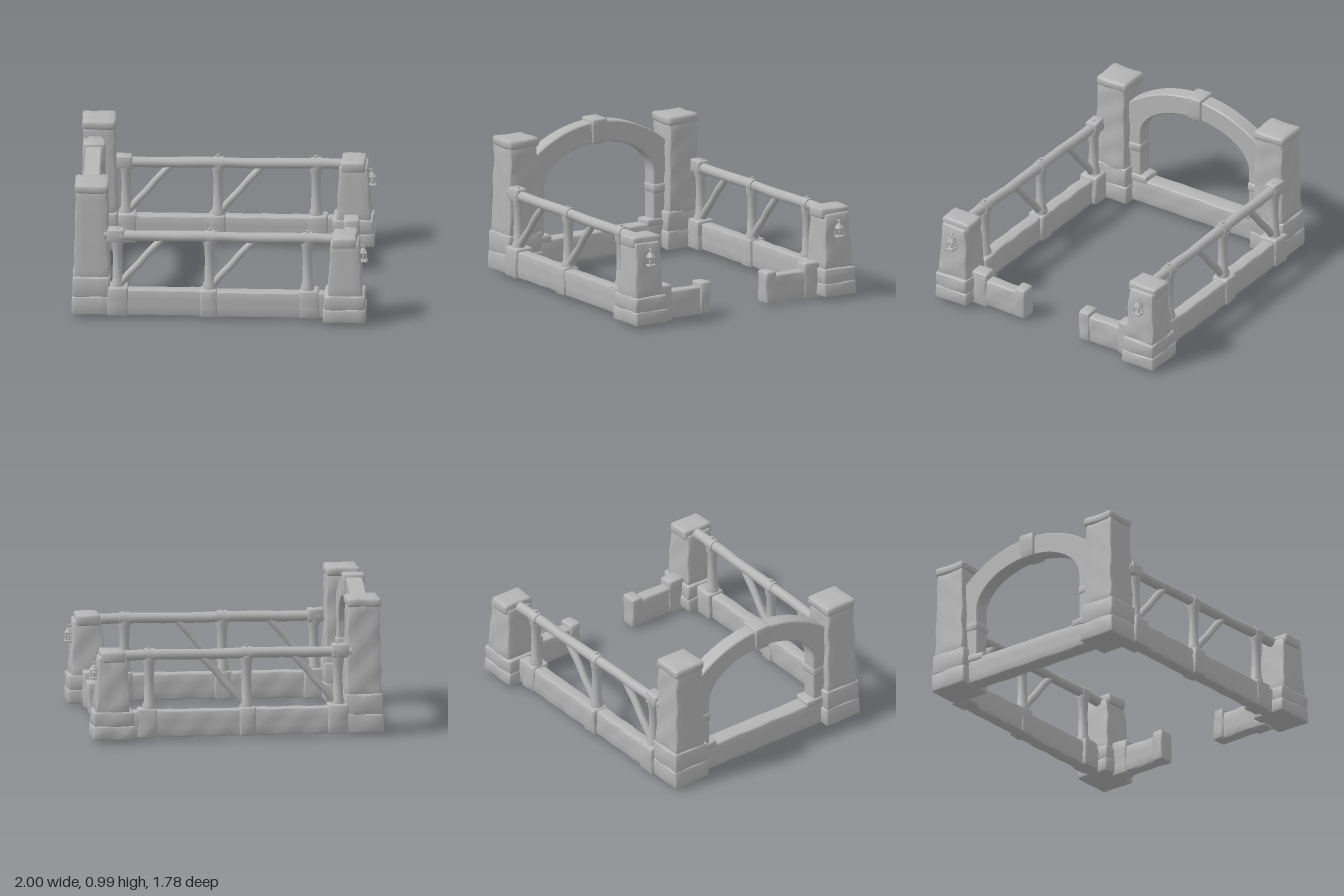
import * as THREE from 'three';
import { mergeVertices, toCreasedNormals } from 'three/addons/utils/BufferGeometryUtils.js';

const stoneGrey = new THREE.MeshStandardMaterial({ color: 0xb4b4b4 });
stoneGrey.name = 'stone grey';

// Gentle hewn unevenness that depends on position only, so surfaces stay closed
function hew(geo, amount, seed) {
  const p = geo.attributes.position;
  for (let i = 0; i < p.count; i++) {
    const x = p.getX(i), y = p.getY(i), z = p.getZ(i);
    p.setXYZ(i,
      x + amount * Math.sin(31 * y + 23 * z + seed),
      y + amount * 0.6 * Math.sin(27 * x + 19 * z + seed * 2),
      z + amount * Math.sin(29 * x + 25 * y + seed * 3));
  }
}

function smooth(geo, crease = 0.9) {
  geo.deleteAttribute('uv');
  geo.deleteAttribute('normal');
  return toCreasedNormals(mergeVertices(geo, 1e-5), crease);
}

function add(parent, name, geo) {
  const mesh = new THREE.Mesh(geo, stoneGrey);
  mesh.name = name;
  parent.add(mesh);
  return mesh;
}

// Bevelled stone block between two corners; taper scales the top in x and z
function stone(parent, name, [x0, y0, z0], [x1, y1, z1], { r = 0.012, taper = 1, rough = 0.003 } = {}) {
  const size = [x1 - x0, y1 - y0, z1 - z0];
  const segs = size.map((s) => Math.max(3, Math.min(14, Math.round(s / 0.06) + 2)));
  const geo = new THREE.BoxGeometry(...size, ...segs);
  const p = geo.attributes.position;
  const v = new THREE.Vector3(), inner = new THREE.Vector3();
  for (let i = 0; i < p.count; i++) {
    v.fromBufferAttribute(p, i);
    for (let a = 0; a < 3; a++) {
      const half = size[a] / 2, k = Math.round((v.getComponent(a) / size[a] + 0.5) * segs[a]);
      const edge = k === 0 || k === segs[a];
      const t = edge ? Math.sign(v.getComponent(a)) : ((k - 1) / (segs[a] - 2)) * 2 - 1;
      v.setComponent(a, t * (edge ? half : half - r));
      inner.setComponent(a, t * (half - r));
    }
    v.sub(inner).setLength(r).add(inner);
    const k = 1 + (taper - 1) * (v.y / size[1] + 0.5);
    p.setXYZ(i, v.x * k, v.y, v.z * k);
  }
  hew(geo, rough, x0 * 7 + y0 * 13 + z0 * 5);
  geo.translate((x0 + x1) / 2, (y0 + y1) / 2, (z0 + z1) / 2);
  return add(parent, name, smooth(geo));
}

// Round beam between two points
function beam(parent, name, a, b, radius, rough = 0.002) {
  const from = new THREE.Vector3(...a), dir = new THREE.Vector3(...b).sub(from);
  const geo = new THREE.CylinderGeometry(radius, radius, dir.length(), 12, 10);
  hew(geo, rough, radius * 90);
  const mesh = add(parent, name, smooth(geo));
  mesh.position.copy(from).addScaledVector(dir, 0.5);
  mesh.quaternion.setFromUnitVectors(new THREE.Vector3(0, 1, 0), dir.normalize());
  return mesh;
}

// Lathed post with flared foot and head
function post(parent, x, z) {
  const profile = [[0, 0.2], [0.046, 0.2], [0.046, 0.235], [0.036, 0.26], [0.032, 0.4],
    [0.034, 0.5], [0.043, 0.53], [0.043, 0.56], [0, 0.56]].map(([r, y]) => new THREE.Vector2(r, y));
  const mesh = add(parent, 'fencePost', smooth(new THREE.LatheGeometry(profile, 14), 0.8));
  mesh.position.set(x, 0, z);
}

// Hanging lantern on the pillar's outer face
function lantern(parent, z) {
  const g = new THREE.Group();
  g.name = 'lantern';
  g.position.set(0.966, 0, z);
  parent.add(g);
  const opts = { r: 0.003, rough: 0 };
  stone(g, 'lanternBase', [-0.027, 0.42, -0.027], [0.03, 0.434, 0.027], opts);
  stone(g, 'lanternRim', [-0.024, 0.478, -0.024], [0.026, 0.488, 0.024], opts);
  for (const x of [-0.019, 0.021]) for (const c of [-0.02, 0.02]) {
    beam(g, 'lanternBar', [x, 0.43, c], [x, 0.482, c], 0.004, 0);
  }
  beam(g, 'lanternCandle', [0, 0.43, 0], [0, 0.462, 0], 0.01, 0);
  const roof = add(g, 'lanternRoof', new THREE.CylinderGeometry(0.012, 0.034, 0.028, 4).rotateY(Math.PI / 4));
  roof.position.y = 0.502;
  const ring = add(g, 'lanternRing', new THREE.TorusGeometry(0.01, 0.003, 6, 12));
  ring.position.y = 0.524;
  const hook = new THREE.CatmullRomCurve3([[-0.06, 0.5, 0], [-0.035, 0.528, 0], [-0.012, 0.537, 0], [0.006, 0.53, 0]]
    .map((q) => new THREE.Vector3(...q)));
  add(g, 'lanternHook', new THREE.TubeGeometry(hook, 10, 0.006, 6));
}

// Box whose z range is given for the left side and mirrored for the right
function sided(parent, s, name, [x0, y0, z0], [x1, y1, z1], opts) {
  const [a, b] = s > 0 ? [z0, z1] : [-z1, -z0];
  return stone(parent, name, [x0, y0, a], [x1, y1, b], opts);
}

function buildSide(s) {
  const g = new THREE.Group();
  g.name = s > 0 ? 'leftSide' : 'rightSide';

  // Tall corner tower
  sided(g, s, 'towerFoot', [-0.997, 0.018, 0.502], [-0.737, 0.15, 0.782]);
  sided(g, s, 'towerPlinth', [-0.993, 0.14, 0.507], [-0.742, 0.285, 0.778]);
  sided(g, s, 'towerShaft', [-0.984, 0.26, 0.522], [-0.746, 0.9, 0.765], { taper: 0.88, rough: 0.004 });
  sided(g, s, 'towerCap', [-0.98, 0.872, 0.522], [-0.752, 0.936, 0.76], { r: 0.018 });

  // Short gate pillar
  sided(g, s, 'pillarFoot', [0.7, 0.018, 0.632], [0.985, 0.115, 0.887]);
  sided(g, s, 'pillarPlinth', [0.706, 0.105, 0.636], [0.98, 0.21, 0.883]);
  sided(g, s, 'pillarShaft', [0.73, 0.19, 0.648], [0.962, 0.58, 0.876], { taper: 0.82, rough: 0.004 });
  sided(g, s, 'pillarCap', [0.762, 0.545, 0.65], [0.924, 0.618, 0.872], { r: 0.014 });
  lantern(g, s * 0.76);

  // Low side wall with thicker blocks under the posts
  sided(g, s, 'sideWall', [-0.76, 0.02, 0.697], [-0.06, 0.203, 0.785]);
  sided(g, s, 'sideWall', [-0.09, 0.02, 0.71], [0.74, 0.2, 0.798]);
  sided(g, s, 'wallBlock', [-0.755, 0.018, 0.665], [-0.62, 0.222, 0.802]);
  sided(g, s, 'wallBlock', [-0.13, 0.018, 0.69], [-0.018, 0.212, 0.81]);
  sided(g, s, 'wallBlock', [0.54, 0.018, 0.682], [0.67, 0.215, 0.806]);

  // Timber railing
  const zAt = (x) => s * (0.742 + 0.012 * x);
  beam(g, 'handRail', [-0.78, 0.577, zAt(-0.78)], [0.8, 0.575, zAt(0.8)], 0.036, 0.003);
  for (const x of [-0.69, -0.07, 0.59]) {
    post(g, x, zAt(x));
    beam(g, 'railCollar', [x - 0.035, 0.577, zAt(x)], [x + 0.035, 0.577, zAt(x)], 0.044, 0.001);
    beam(g, 'postPeg', [x, 0.6, zAt(x)], [x, 0.632, zAt(x)], 0.011, 0);
  }
  sided(g, s, 'railSocket', [-0.76, 0.535, 0.69], [-0.645, 0.628, 0.775]);
  for (const x of [-0.67, -0.05]) {
    beam(g, 'brace', [x, 0.235, zAt(x)], [x + 0.28, 0.56, zAt(x + 0.28)], 0.025);
  }

  // Gate stub wall running inwards from the pillar
  sided(g, s, 'stubWall', [0.792, 0.008, 0.27], [0.88, 0.2, 0.66]);
  sided(g, s, 'stubEnd', [0.782, 0.012, 0.222], [0.892, 0.23, 0.305]);
  sided(g, s, 'stubStep', [0.785, 0.0, 0.535], [0.887, 0.25, 0.66]);

  // Arch footing on the back wall
  sided(g, s, 'archFooting', [-0.94, 0.18, 0.385], [-0.808, 0.232, 0.53]);
  sided(g, s, 'archSpringer', [-0.936, 0.41, 0.436], [-0.812, 0.47, 0.54], { r: 0.01 });
  return g;
}

// Stone arch outline in the z-y plane
function archGeometry() {
  const shape = new THREE.Shape();
  shape.moveTo(0.56, 0.19);
  shape.lineTo(0.56, 0.755);
  const n = 28, R = 0.845, top = 0.965;
  for (let i = 0; i <= n; i++) {
    const z = 0.56 - (1.12 * i) / n;
    shape.lineTo(z, top - R + Math.sqrt(R * R - z * z));
  }
  shape.lineTo(-0.56, 0.19);
  shape.lineTo(-0.44, 0.19);
  for (let i = 0; i <= n; i++) {
    const a = Math.PI * (1 - i / n);
    shape.lineTo(0.44 * Math.cos(a), 0.55 + 0.27 * Math.sin(a));
  }
  shape.lineTo(0.44, 0.19);
  const geo = new THREE.ExtrudeGeometry(shape, {
    depth: 0.094, bevelEnabled: true, bevelSize: 0.008, bevelThickness: 0.008, bevelOffset: -0.008, bevelSegments: 1,
  });
  geo.rotateY(-Math.PI / 2).translate(-0.828, 0, 0);
  return smooth(geo, 0.6);
}

export function createModel() {
  const model = new THREE.Group();
  model.name = 'walledYard';
  model.add(buildSide(1), buildSide(-1));

  // Back wall with the arch and its keystone
  stone(model, 'backWall', [-0.935, 0.022, -0.54], [-0.815, 0.2, 0.54]);
  add(model, 'arch', archGeometry());
  stone(model, 'keystone', [-0.942, 0.812, -0.055], [-0.808, 0.985, 0.055], { taper: 1.12, rough: 0.001 });
  return model;
}
